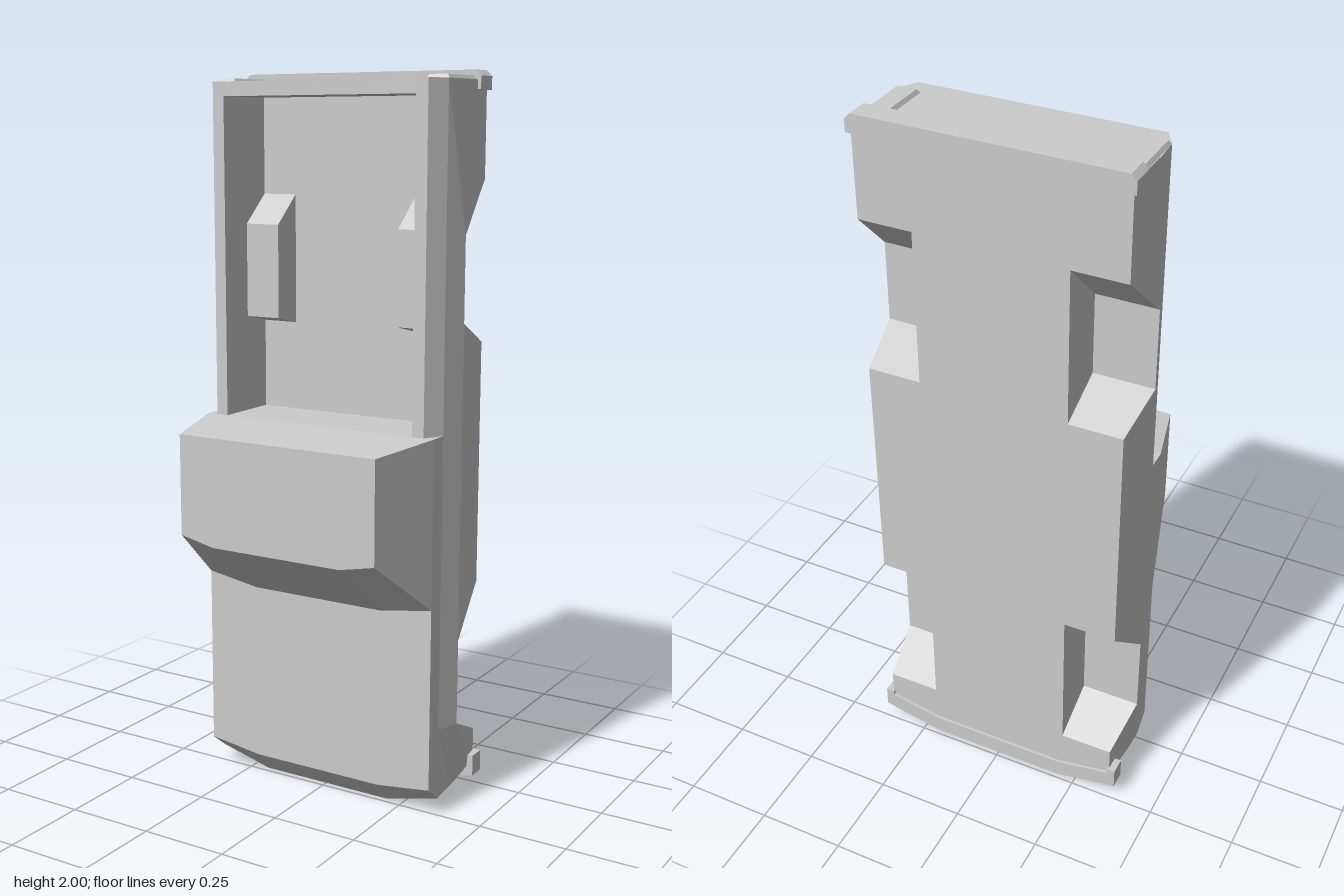
import * as THREE from 'three';

// Collects flat polygons; each is turned to face along the given direction.
function part(name, material) {
  const pos = [];
  const api = {
    face(pts, dir) {
      const v = pts.map((p) => new THREE.Vector3(...p));
      const n = new THREE.Vector3(), e = new THREE.Vector3(), f = new THREE.Vector3();
      for (let i = 1; i < v.length - 1; i++) {
        n.add(e.subVectors(v[i], v[0]).cross(f.subVectors(v[i + 1], v[0])));
      }
      if (n.dot(new THREE.Vector3(...dir)) < 0) v.reverse();
      for (let i = 1; i < v.length - 1; i++) pos.push(...v[0], ...v[i], ...v[i + 1]);
      return api;
    },
    // the same polygon on both sides of x = 0
    pair(pts, dir) {
      api.face(pts, dir);
      return api.face(pts.map(([x, y, z]) => [-x, y, z]), [-dir[0], dir[1], dir[2]]);
    },
    mesh() {
      const g = new THREE.BufferGeometry();
      g.setAttribute('position', new THREE.Float32BufferAttribute(pos, 3));
      g.computeVertexNormals();
      const m = new THREE.Mesh(g, material);
      m.name = name;
      return m;
    },
  };
  return api;
}

export function createModel() {
  const group = new THREE.Group();
  group.name = 'pickupBody';
  const grey = new THREE.MeshStandardMaterial({ color: 0xcccccc, flatShading: true });
  grey.name = 'bodyGrey';
  const add = (p) => group.add(p.mesh());

  // Main levels (the vehicle stands on its nose, roof towards +z)
  const TOP = 0.035, SHOULDER = -0.018, BELT = -0.088, SILL = -0.235, FLOOR = -0.16;
  const REAR = 1.975, CAB = 1.06, WELL = 0.21, W = 0.36;
  // Wheel wells: [low y at sill, low y at belt, high y at belt, high y at sill]
  const wells = [[0.17, 0.24, 0.48, 0.61], [1.285, 1.35, 1.58, 1.72]];
  // Nose outline by level: [z, y at the middle, y at the sides]
  const nose = [[TOP, 0.062, 0.083], [SHOULDER, 0, 0.04], [-0.16, 0.03, 0.062], [SILL, 0.045, 0.075]];

  // Side panels above the belt line
  const sides = part('sidePanels', grey);
  const ys = [0.052, 0.24, 0.48, CAB, 1.35, 1.58, REAR];
  const belt = [0.363, 0.38, 0.38, 0.38, 0.38, 0.38, 0.363];
  for (let i = 0; i < ys.length - 1; i++) {
    const [y0, y1] = [ys[i], ys[i + 1]];
    const rim = y0 >= CAB ? 0.33 : W;
    const yt = i ? y0 : nose[0][2], ym = i ? y0 : nose[1][2];
    sides.pair([[rim, yt, TOP], [rim, y1, TOP], [W, y1, SHOULDER], [W, ym, SHOULDER]], [1, 0, 0]);
    sides.pair([[W, ym, SHOULDER], [W, y1, SHOULDER], [belt[i + 1], y1, BELT], [belt[i], y0, BELT]], [1, 0, 0]);
  }
  sides.pair([[W, CAB, TOP], [0.33, CAB, TOP], [W, CAB, SHOULDER]], [0, 1, 0]);
  // Lower panels and underside between the wells
  const [fw, rw] = wells;
  const lower = [
    [ys[0], fw[1], fw[0], 0.075, 0.363, 0.38],
    [fw[2], rw[1], rw[0], fw[3], 0.38, 0.38],
    [rw[2], REAR, REAR, rw[3], 0.38, 0.363],
  ];
  const under = part('underside', grey);
  for (const [a, b, c, d, xa, xb] of lower) {
    sides.pair([[xa, a, BELT], [xb, b, BELT], [W, c, SILL], [W, d, SILL]], [1, 0, 0]);
    under.pair([[WELL, d, SILL], [W, d, SILL], [W, c, SILL], [WELL, c, SILL]], [0, 0, -1]);
  }
  under.face([[-WELL, 0.045, SILL], [WELL, 0.045, SILL], [WELL, REAR, SILL], [-WELL, REAR, SILL]], [0, 0, -1]);
  under.pair([[WELL, 0.045, SILL], [W, 0.075, SILL], [WELL, 0.075, SILL]], [0, 0, -1]);
  add(sides);
  add(under);

  // Wheel wells
  const arches = part('wheelWells', grey);
  for (const [a, b, c, d] of wells) {
    arches.pair([[WELL, a, SILL], [WELL, b, BELT], [WELL, c, BELT], [WELL, d, SILL]], [1, 0, 0]);
    arches.pair([[WELL, b, BELT], [0.38, b, BELT], [0.38, c, BELT], [WELL, c, BELT]], [0, 0, -1]);
    arches.pair([[WELL, a, SILL], [W, a, SILL], [0.38, b, BELT], [WELL, b, BELT]], [0, 1, 0]);
    arches.pair([[WELL, c, BELT], [0.38, c, BELT], [W, d, SILL], [WELL, d, SILL]], [0, -1, 0]);
  }
  add(arches);

  // Hood and sloped hood lip
  const hood = part('hood', grey);
  const [n0, n1, n2, n3] = nose;
  hood.face([[-W, CAB, TOP], [W, CAB, TOP], [W, n0[2], TOP], [0.2, n0[1], TOP], [-0.2, n0[1], TOP], [-W, n0[2], TOP]], [0, 0, 1]);
  const band = (p, u, v) => {
    p.face([[-0.2, u[1], u[0]], [0.2, u[1], u[0]], [0.2, v[1], v[0]], [-0.2, v[1], v[0]]], [0, -1, 0]);
    p.pair([[0.2, u[1], u[0]], [W, u[2], u[0]], [W, v[2], v[0]], [0.2, v[1], v[0]]], [0, -1, 0]);
  };
  band(hood, n0, n1);
  add(hood);

  // Flat grille panel with a recessed lamp opening at each corner
  const grille = part('grilleAndLampRecesses', grey);
  grille.face([[-0.2, n1[1], n1[0]], [0.2, n1[1], n1[0]], [0.2, n2[1], n2[0]], [-0.2, n2[1], n2[0]]], [0, -1, 0]);
  for (const s of [1, -1]) {
    const at = (u, v, depth) => [
      s * (0.2 + (W - 0.2) * u),
      n1[1] + (n1[2] - n1[1]) * u + (n2[1] - n1[1]) * v + depth,
      n1[0] + (n2[0] - n1[0]) * v,
    ];
    const loop = (m, depth) => [at(m, m, depth), at(1 - m, m, depth), at(1 - m, 1 - m, depth), at(m, 1 - m, depth)];
    const outer = loop(0, 0), rim = loop(0.09, 0), back = loop(0.09, 0.014);
    const mid = at(0.5, 0.5, 0);
    for (let i = 0; i < 4; i++) {
      const j = (i + 1) % 4;
      grille.face([outer[i], outer[j], rim[j], rim[i]], [0, -1, 0]);
      const inward = mid.map((c, q) => c - (rim[i][q] + rim[j][q]) / 2);
      grille.face([rim[i], rim[j], back[j], back[i]], inward);
    }
    grille.face(back, [0, -1, 0]);
  }
  band(grille, n2, n3);
  // cheek fillers between the nose panel and the side panels
  grille.pair([[W, n1[2], SHOULDER], [0.363, ys[0], BELT], [W, n2[2], n2[0]]], [0, -1, 0]);
  grille.pair([[W, n2[2], n2[0]], [0.363, ys[0], BELT], [W, n3[2], SILL]], [0, -1, 0]);
  add(grille);

  // Cab with bowed windscreen
  const cab = part('cab', grey);
  const R = 0.245, rx = 0.305;
  cab.face([[-rx, 1.04, R], [rx, 1.04, R], [rx, 0.758, R], [0.2, 0.736, R], [-0.2, 0.736, R], [-rx, 0.758, R]], [0, 0, 1]);
  cab.face([[-0.2, 0.736, R], [0.2, 0.736, R], [0.2, 0.57, TOP], [-0.2, 0.57, TOP]], [0, -1, 0]);
  cab.pair([[0.2, 0.736, R], [rx, 0.758, R], [W, 0.595, TOP], [0.2, 0.57, TOP]], [0, -1, 0]);
  cab.pair([[rx, 1.04, R], [rx, 0.758, R], [W, 0.595, TOP], [W, CAB, TOP]], [1, 0, 0]);
  cab.face([[-rx, 1.04, R], [rx, 1.04, R], [W, CAB, TOP], [-W, CAB, TOP]], [0, 1, 0]);
  add(cab);

  // Cargo bed: rails, inner walls, floor and tailgate
  const bed = part('cargoBed', grey);
  const bx = 0.295, gate = 1.936;
  const hx = 0.19, hz = -0.07;
  const prof = [[1.31, FLOOR], [1.33, hz], [1.59, hz], [1.67, FLOOR]];
  const [p0, p1, p2, p3] = prof;
  bed.pair([[bx, CAB, TOP], [0.33, CAB, TOP], [0.33, REAR, TOP], [bx, REAR, TOP]], [0, 0, 1]);
  bed.face([[-bx, gate, TOP], [bx, gate, TOP], [bx, REAR, TOP], [-bx, REAR, TOP]], [0, 0, 1]);
  // the inner walls are cut away around the wheel housings
  const walls = [
    [[CAB, TOP], [p1[0], TOP], p1, p0, [CAB, FLOOR]],
    [[p1[0], TOP], [p2[0], TOP], p2, p1],
    [[p2[0], TOP], [gate, TOP], [gate, FLOOR], p3, p2],
  ];
  for (const wall of walls) bed.pair(wall.map(([y, z]) => [bx, y, z]), [-1, 0, 0]);
  bed.face([[-bx, CAB, FLOOR], [bx, CAB, FLOOR], [bx, gate, FLOOR], [-bx, gate, FLOOR]], [0, 0, 1]);
  bed.face([[-bx, CAB, TOP], [bx, CAB, TOP], [bx, CAB, FLOOR], [-bx, CAB, FLOOR]], [0, 1, 0]);
  bed.face([[-bx, gate, TOP], [bx, gate, TOP], [bx, gate, FLOOR], [-bx, gate, FLOOR]], [0, -1, 0]);
  bed.face([[0.33, REAR, TOP], [W, REAR, SHOULDER], [0.363, REAR, BELT], [W, REAR, SILL],
    [-W, REAR, SILL], [-0.363, REAR, BELT], [-W, REAR, SHOULDER], [-0.33, REAR, TOP]], [0, 1, 0]);
  add(bed);

  // Wheel housings inside the bed
  const housings = part('bedWheelHousings', grey);
  housings.pair(prof.map(([y, z]) => [hx, y, z]), [-1, 0, 0]);
  [[0, -1, 0], [0, 0, 1], [0, 1, 0]].forEach((dir, i) => {
    const [a, b] = [prof[i], prof[i + 1]];
    housings.pair([[hx, ...a], [hx, ...b], [bx, ...b], [bx, ...a]], dir);
  });
  add(housings);

  // Tail lamps: shallow bevelled blocks
  const lamps = part('tailLamps', grey);
  const rect = (y, i) => [[0.294 + i, y, -0.172 + i], [W - i, y, -0.172 + i], [W - i, y, -0.018 - i], [0.294 + i, y, -0.018 - i]];
  const base = rect(REAR, 0), cap = rect(1.985, 0.007);
  lamps.pair(cap, [0, 1, 0]);
  base.forEach((p, i) => {
    const j = (i + 1) % 4;
    lamps.pair([p, base[j], cap[j], cap[i]], [0, 1, 0]);
  });
  add(lamps);

  // Bumpers: plan outlines extruded through their height
  const bumper = (name, half, z0, z1) => {
    const pts = [...half, ...half.map(([x, y]) => [-x, y]).reverse()];
    const shape = new THREE.Shape(pts.map((p) => new THREE.Vector2(...p)));
    const g = new THREE.ExtrudeGeometry(shape, { depth: z1 - z0, bevelEnabled: false });
    const m = new THREE.Mesh(g.translate(0, 0, z0), grey);
    m.name = name;
    group.add(m);
  };
  bumper('frontBumper', [[0.2, 0.008], [0.38, 0.045], [0.38, 0.105], [0.355, 0.105], [0.355, 0.09], [0.2, 0.06]], -0.243, -0.194);
  bumper('rearBumper', [[0.355, 2], [0.37, 1.985], [0.37, 1.95]], -0.245, -0.18);
  return group;
}
